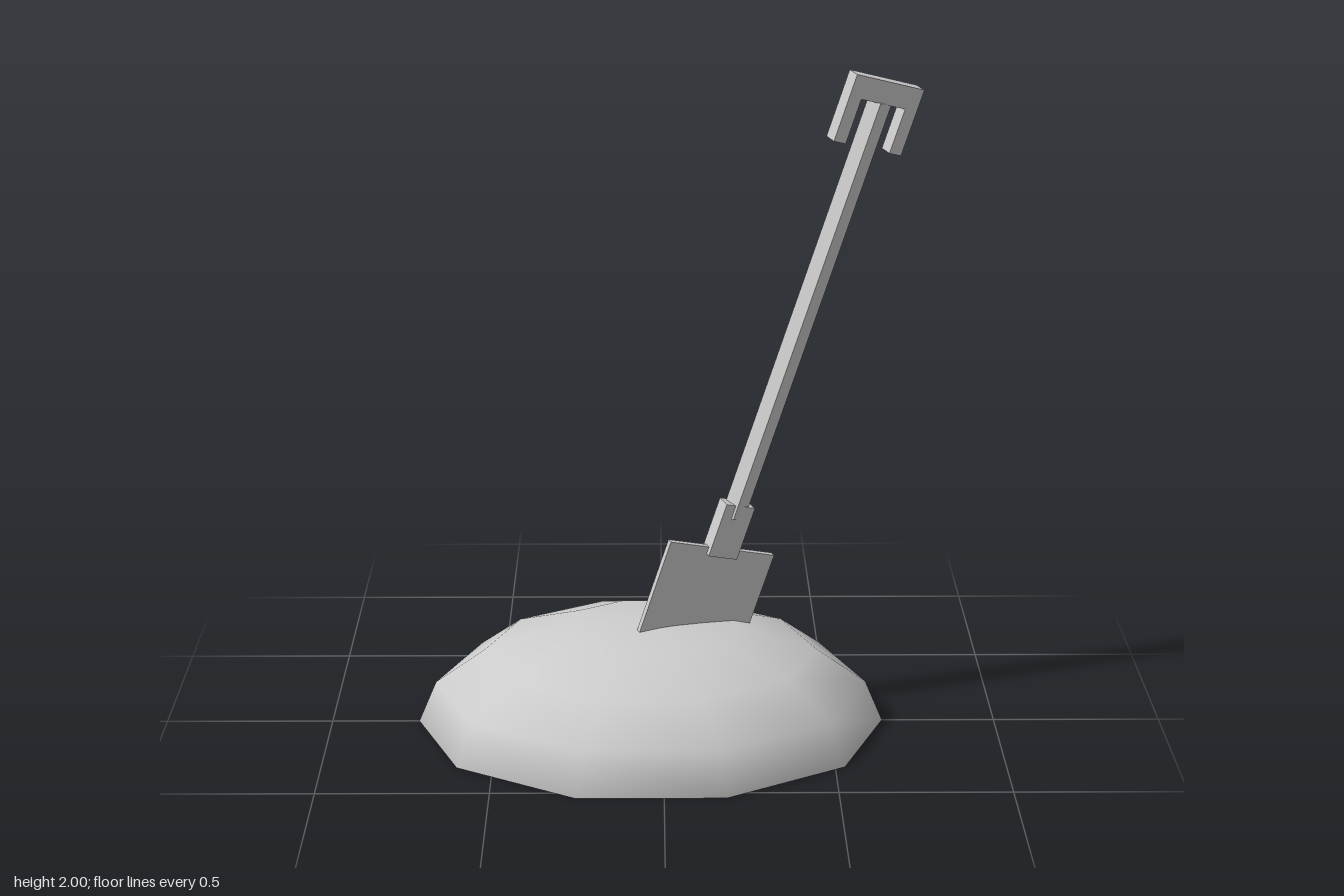
import * as THREE from 'three';

export function createModel() {
  const model = new THREE.Group();
  const grey = new THREE.MeshStandardMaterial({ color: 0xcccccc, side: THREE.DoubleSide });
  grey.name = 'grey';

  // Mound: hollow ten-sided dome, open underneath
  const domeGeometry = new THREE.SphereGeometry(1, 10, 4, 0, Math.PI * 2, 0, Math.PI / 2);
  domeGeometry.scale(0.70, 0.333, 0.5625);
  const mound = new THREE.Mesh(domeGeometry, grey);
  mound.name = 'mound';
  mound.position.x = -0.038;
  model.add(mound);

  // Shovel leans to +x; its flat parts are also turned about the shaft
  const shovel = new THREE.Group();
  shovel.name = 'shovel';
  shovel.position.x = -0.008;
  shovel.rotation.z = THREE.MathUtils.degToRad(-18);
  model.add(shovel);

  const turned = new THREE.Group();
  turned.name = 'turnedParts';
  turned.rotation.y = THREE.MathUtils.degToRad(25);
  shovel.add(turned);

  // Box spanning y0..y1 along the shaft
  const box = (name, width, depth, y0, y1, x = 0) => {
    const mesh = new THREE.Mesh(new THREE.BoxGeometry(width, y1 - y0, depth), grey);
    mesh.name = name;
    mesh.position.set(x, (y0 + y1) / 2, 0);
    turned.add(mesh);
  };

  box('blade', 0.36, 0.018, 0.165, 0.588);
  box('socket', 0.098, 0.048, 0.565, 0.735);

  // Grip: crossbar with two prongs pointing down
  box('gripBar', 0.23, 0.046, 2.0, 2.066);
  for (const side of [-1, 1]) {
    box(side > 0 ? 'leftProng' : 'rightProng', 0.04, 0.046, 1.866, 2.0, side * 0.095);
  }

  // Shaft: square rod with its corners facing front and sides
  const shaftGeometry = new THREE.CylinderGeometry(0.035, 0.035, 1.31, 4).toNonIndexed();
  shaftGeometry.computeVertexNormals();
  const shaft = new THREE.Mesh(shaftGeometry, grey);
  shaft.name = 'shaft';
  shaft.position.y = 1.347;
  shovel.add(shaft);

  return model;
}
